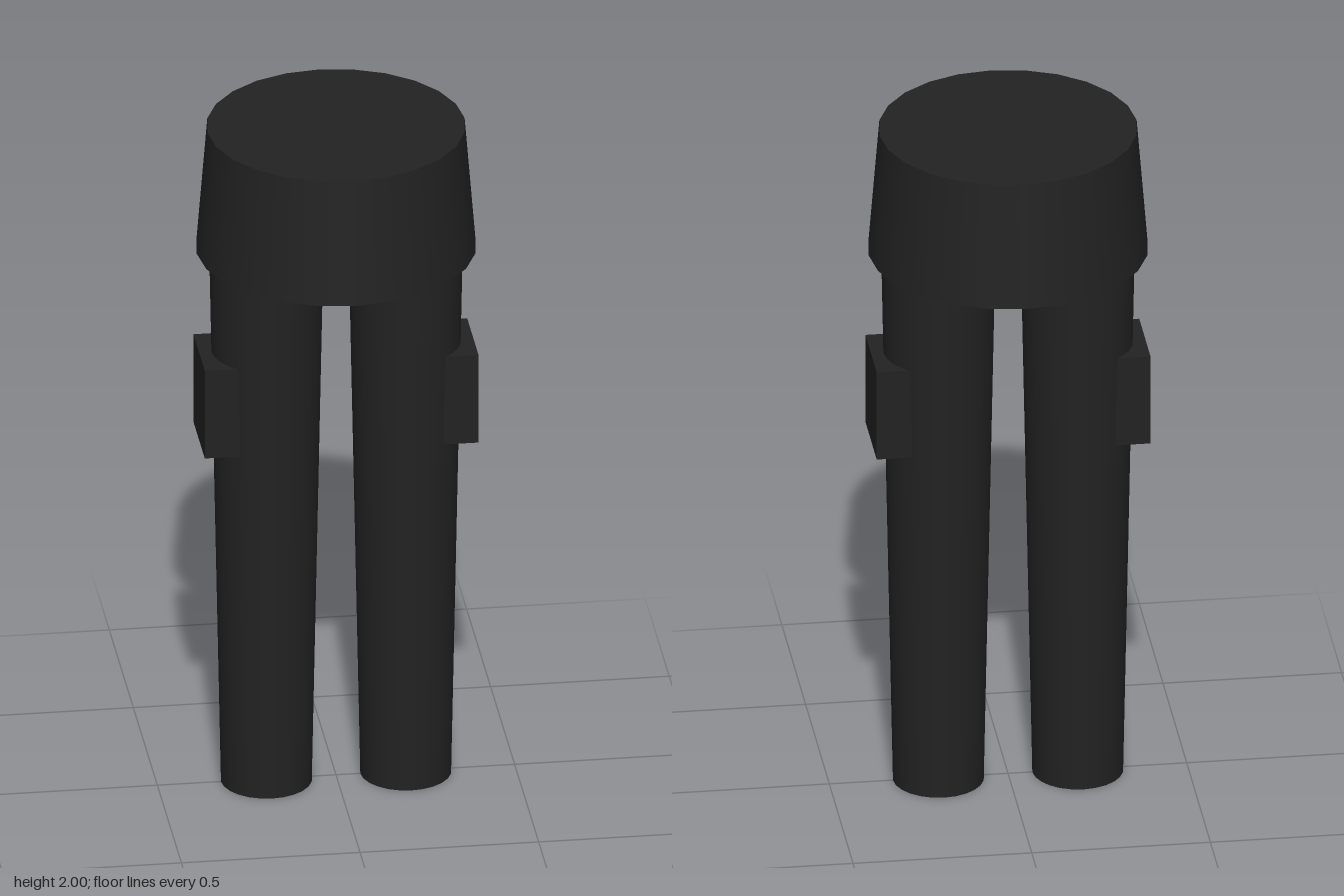
import * as THREE from 'three';

export function createModel() {
  const model = new THREE.Group();
  model.name = 'trousers';
  const blackCloth = new THREE.MeshStandardMaterial({ color: 0x222222 });
  blackCloth.name = 'blackCloth';

  const add = (name, geometry, x, y) => {
    const mesh = new THREE.Mesh(geometry, blackCloth);
    mesh.name = name;
    mesh.position.set(x, y, 0);
    model.add(mesh);
  };

  // Flared hip section
  add('hips', new THREE.CylinderGeometry(0.36, 0.39, 0.37, 24), 0, 1.815);

  // Tapered legs, each with a box pocket on the outer thigh
  for (const [side, s] of [['left', 1], ['right', -1]]) {
    add(side + 'Leg', new THREE.CylinderGeometry(0.16, 0.127, 1.64, 24), s * 0.195, 0.82);
    add(side + 'Pocket', new THREE.BoxGeometry(0.098, 0.27, 0.236), s * 0.334, 1.19);
  }
  return model;
}
